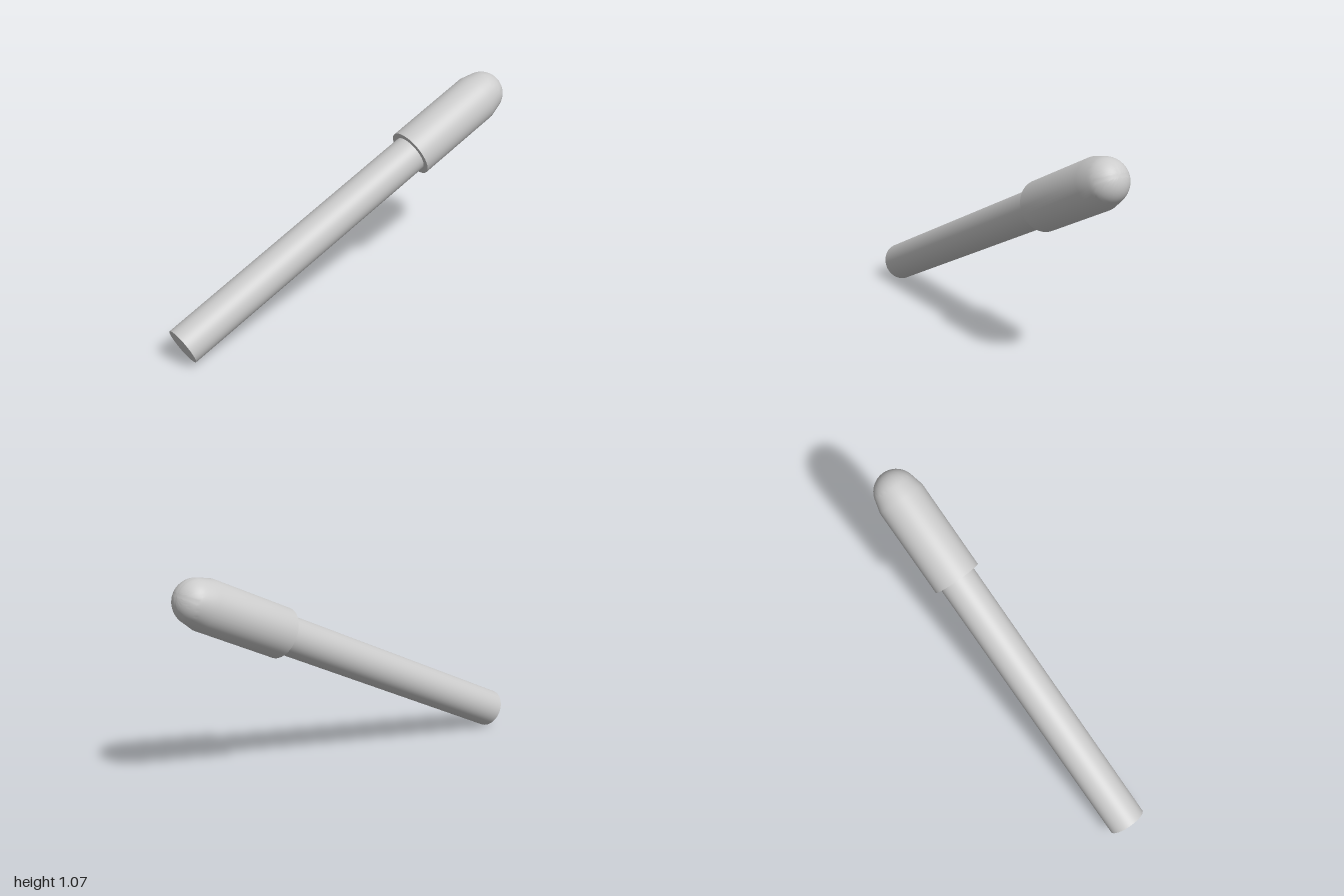
import * as THREE from 'three';
import { toCreasedNormals } from 'three/addons/utils/BufferGeometryUtils.js';

const SHAFT_RADIUS = 0.0975;
const HEAD_RADIUS = 0.1265;
const HEAD_START = 1.524;   // distances along the stick from its free end
const SHOULDER = 2.0;
const DOME_CENTRE = 2.04;
const DOME_RADIUS = 0.113;

export function createModel() {
  const group = new THREE.Group();
  const material = new THREE.MeshStandardMaterial({ color: 0xcccccc });

  // Long plain shaft, closed at the free end
  const shaftLength = HEAD_START + 0.03;
  const shaftGeometry = new THREE.CylinderGeometry(SHAFT_RADIUS, SHAFT_RADIUS, shaftLength, 64);
  shaftGeometry.translate(0, shaftLength / 2, 0);
  const shaft = new THREE.Mesh(shaftGeometry, material);
  shaft.name = 'shaft';

  // Wider head: flat collar, straight wall, slight taper, round dome
  const profile = [
    new THREE.Vector2(0, HEAD_START),
    new THREE.Vector2(HEAD_RADIUS, HEAD_START),
    new THREE.Vector2(HEAD_RADIUS, SHOULDER),
  ];
  const startAngle = 0.18;
  const steps = 12;
  for (let i = 0; i <= steps; i++) {
    const a = startAngle + (Math.PI / 2 - startAngle) * (i / steps);
    const radius = i === steps ? 0 : DOME_RADIUS * Math.cos(a);
    profile.push(new THREE.Vector2(radius, DOME_CENTRE + DOME_RADIUS * Math.sin(a)));
  }
  const headGeometry = toCreasedNormals(new THREE.LatheGeometry(profile, 64), 0.7);
  const head = new THREE.Mesh(headGeometry, material);
  head.name = 'head';

  // Lean the whole stick so its free end rests on the ground
  const stick = new THREE.Group();
  stick.name = 'stick';
  stick.add(shaft, head);
  stick.rotation.z = THREE.MathUtils.degToRad(25.3 - 90);
  stick.position.set(-0.958, 0.088, 0);
  group.add(stick);
  return group;
}
